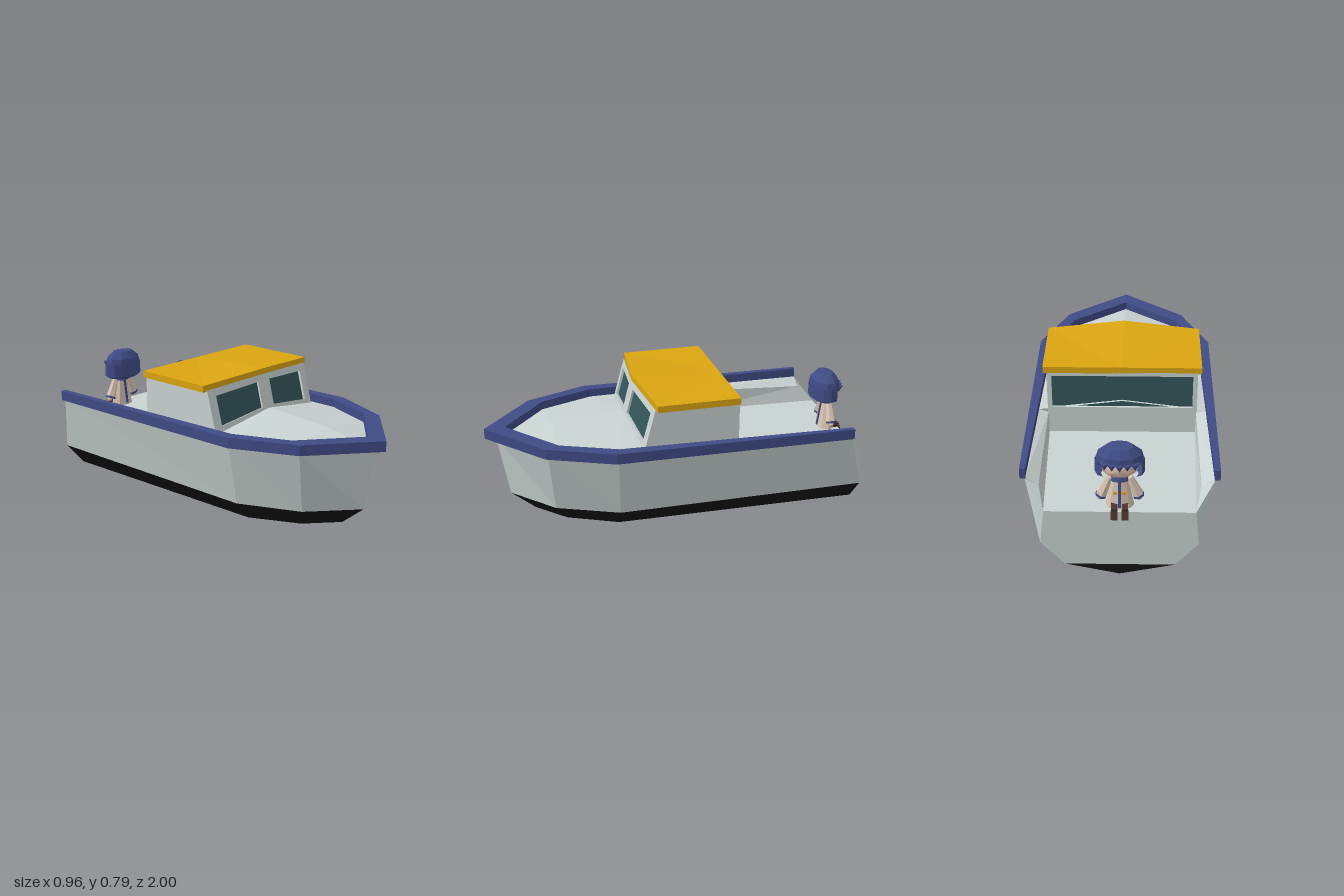
import * as THREE from 'three';

const V = (x, y, z) => new THREE.Vector3(x, y, z);
const paint = (color) => new THREE.MeshStandardMaterial({ color, flatShading: true, side: THREE.DoubleSide });
const mats = {
  hull: paint(0xc8d2d0), black: paint(0x141414), blue: paint(0x3f4b85), roof: paint(0xdba511),
  glass: paint(0x33555a), skin: paint(0xe6c3ad), coat: paint(0xd8c4b4), brown: paint(0x4a332e),
};

// Skin a list of rows (lower/outer first) with flat faces
function loft(rows, closed = false) {
  const p = [];
  for (let r = 0; r < rows.length - 1; r++) {
    const a = rows[r], b = rows[r + 1], n = a.length;
    for (let i = 0; i < (closed ? n : n - 1); i++) {
      const j = (i + 1) % n;
      for (const v of [a[i], b[i], b[j], a[i], b[j], a[j]]) p.push(v.x, v.y, v.z);
    }
  }
  const g = new THREE.BufferGeometry();
  g.setAttribute('position', new THREE.Float32BufferAttribute(p, 3));
  g.computeVertexNormals();
  return g;
}

// Half outline (left stern to bow) continued around to the right stern
const around = (half) => {
  const h = half.map((c) => V(...c));
  return [...h, ...h.slice(0, -1).reverse().map((v) => V(-v.x, v.y, v.z))];
};
// Crosswise row from right to left
const across = (x, y, z) => [V(-x, y, z), V(x, y, z)];

function add(parent, name, geometry, mat, pos = [0, 0, 0], rot = [0, 0, 0]) {
  const m = new THREE.Mesh(geometry, mats[mat]);
  m.name = name;
  m.position.set(...pos);
  m.rotation.set(...rot);
  parent.add(m);
  return m;
}

function addPair(parent, name, geometry, mat) {
  add(parent, name + 'Left', geometry, mat);
  add(parent, name + 'Right', geometry, mat).scale.x = -1;
}

// Wall with a recessed window; corners run bottom a, bottom b, top b, top a
function windowWall(parent, name, corners, [u0, u1, v0, v1], inward) {
  const [a, b, c, d] = corners;
  const at = (u, v) => a.clone().lerp(b, u).lerp(d.clone().lerp(c, u), v);
  const hole = [at(u0, v0), at(u1, v0), at(u1, v1), at(u0, v1)];
  const pane = hole.map((p) => p.clone().add(inward));
  add(parent, name + 'Frame', loft([corners, hole, pane], true), 'hull');
  add(parent, name + 'Glass', loft([[pane[0], pane[1]], [pane[3], pane[2]]]), 'glass');
}

function buildHull(boat) {
  const hull = new THREE.Group();
  hull.name = 'hull';
  boat.add(hull);
  const keel = around([[0, 0, -0.98], [0, 0.03, 0.3], [0, 0.035, 0.62], [0, 0.065, 0.75]]);
  const chine = around([[0.27, 0.06, -0.98], [0.27, 0.06, 0.34], [0.15, 0.06, 0.6], [0, 0.065, 0.75]]);
  const water = around([[0.385, 0.19, -0.98], [0.37, 0.17, 0.35], [0.235, 0.17, 0.67], [0, 0.17, 0.88]]);
  const sheer = around([[0.455, 0.505, -0.89], [0.455, 0.505, 0.37], [0.315, 0.505, 0.71], [0, 0.505, 0.94]]);
  add(hull, 'bottom', loft([keel, chine, water]), 'black');
  add(hull, 'topsides', loft([water, sheer]), 'hull');

  // Transom and its folded corners
  add(hull, 'transomFoot', loft([across(0, 0, -0.98), across(0.27, 0.06, -0.98)]), 'black');
  add(hull, 'transom', loft([across(0.27, 0.06, -0.98), across(0.385, 0.19, -0.98), across(0.365, 0.38, -0.98)]), 'hull');
  const tip = V(0.455, 0.505, -0.89), corner = V(0.365, 0.38, -0.98);
  addPair(hull, 'sternCorner', loft([[V(0.385, 0.19, -0.98), V(0.385, 0.19, -0.98)], [corner, tip]]), 'hull');
  addPair(hull, 'sternCornerTop', loft([[tip, tip], [corner, V(0.39, 0.47, -0.89)]]), 'hull');

  // Cockpit: side ledge, wall and floor
  addPair(hull, 'cockpit', loft([
    [V(0.455, 0.51, -0.89), V(0.438, 0.515, -0.28)],
    [V(0.39, 0.47, -0.89), V(0.387, 0.5, -0.28)],
    [corner, V(0.385, 0.38, -0.28)],
    [V(0, 0.38, -0.98), V(0, 0.38, -0.28)],
  ]), 'hull');

  // Cambered foredeck
  add(hull, 'foredeck', loft([
    around([[0.438, 0.515, -0.28], [0.42, 0.515, 0.36], [0.3, 0.515, 0.65], [0, 0.515, 0.89]]),
    around([[0, 0.57, -0.28], [0, 0.582, 0.25], [0, 0.555, 0.64], [0, 0.515, 0.89]]),
  ]), 'hull');

  // Rub rail
  const outer = (y) => around([[0.48, y, -0.89], [0.48, y, 0.385], [0.335, y, 0.725], [0, y, 1]]);
  const inner = (y) => around([[0.452, y, -0.89], [0.42, y, 0.36], [0.3, y, 0.65], [0, y, 0.89]]);
  add(hull, 'rail', loft([outer(0.505), outer(0.56), inner(0.56), inner(0.505), outer(0.505)]), 'blue');
  addPair(hull, 'railEnd', loft([
    [V(0.452, 0.505, -0.89), V(0.48, 0.505, -0.89)], [V(0.452, 0.56, -0.89), V(0.48, 0.56, -0.89)],
  ]), 'blue');
}

function buildCabin(boat) {
  const cabin = new THREE.Group();
  cabin.name = 'cabin';
  boat.add(cabin);
  const low = [V(0.39, 0.38, -0.28), V(0.39, 0.5, 0.23), V(0, 0.56, 0.256)];
  const high = [V(0.39, 0.74, -0.28), V(0.39, 0.74, 0.165), V(0, 0.76, 0.205)];
  addPair(cabin, 'sideWall', loft([low.slice(0, 2), high.slice(0, 2)]), 'hull');

  // Raked, V-shaped windscreen
  for (const s of [1, -1]) {
    const half = new THREE.Group();
    half.name = s > 0 ? 'windscreenLeft' : 'windscreenRight';
    half.scale.x = s;
    cabin.add(half);
    windowWall(half, 'windscreen', [low[2], low[1], high[1], high[2]], [0.115, 0.87, 0.19, 0.84], V(-0.002, -0.004, -0.012));
  }
  windowWall(cabin, 'rearWindow', [...across(0.39, 0.38, -0.28), ...across(0.39, 0.74, -0.28).reverse()],
    [0.03, 0.97, 0.42, 0.94], V(0, 0, 0.012));

  // Roof with a raised front peak
  const edge = (d) => around([[0.41, 0.77 - d, -0.28], [0.41, 0.767 - d, 0.157], [0, 0.79 - d, 0.205]]);
  const hub = (d) => Array.from({ length: 5 }, () => V(0, 0.77 - d, -0.28));
  add(cabin, 'roof', loft([hub(0.035), edge(0.035), edge(0), hub(0)], true), 'roof');
}

// Small seated figure facing aft
function buildFigure(boat) {
  const fig = new THREE.Group();
  fig.name = 'seatedFigure';
  fig.position.set(0, 0, -0.9);
  boat.add(fig);
  const lathe = (pts, n, start, len) => new THREE.LatheGeometry(pts.map((p) => new THREE.Vector2(...p)), n, start, len).scale(1, 1, 0.68);

  // Head and hair
  add(fig, 'head', new THREE.IcosahedronGeometry(0.095, 1).scale(1, 0.75, 0.74), 'skin', [0, 0.61, -0.005]);
  add(fig, 'hairCap', lathe([[0.118, 0.635], [0.108, 0.67], [0.065, 0.707], [0, 0.712]], 10, 0, Math.PI * 2), 'blue');
  add(fig, 'hairBack', lathe([[0.09, 0.55], [0.12, 0.565], [0.118, 0.64]], 8, -0.66 * Math.PI, 1.32 * Math.PI), 'blue');
  for (const i of [-2, -1, 0, 1, 2]) {
    add(fig, 'fringe', new THREE.ConeGeometry(0.024, 0.04, 4), 'blue',
      [i * 0.036, 0.625, -0.074 + Math.abs(i) * 0.008], [Math.PI, 0, 0]);
  }

  // Coat, trim and buttons
  add(fig, 'coat', new THREE.CylinderGeometry(0.035, 0.07, 0.17, 8).scale(1, 1, 0.68), 'coat', [0, 0.465, -0.015]);
  add(fig, 'collar', new THREE.CylinderGeometry(0.034, 0.048, 0.025, 8).scale(1, 1, 0.75), 'blue', [0, 0.541, -0.015]);
  for (const z of [-1, 1]) {
    add(fig, 'coatStripe', new THREE.BoxGeometry(0.014, 0.15, 0.006), 'blue', [0, 0.465, -0.015 + z * 0.036], [-z * 0.14, 0, 0]);
  }
  for (const s of [-1, 1]) {
    add(fig, 'button', new THREE.BoxGeometry(0.02, 0.012, 0.008), 'roof', [s * 0.022, 0.47, -0.051]);
    add(fig, 'sleeve', new THREE.CylinderGeometry(0.016, 0.028, 0.11, 6), 'coat', [s * 0.068, 0.49, -0.015], [0, 0, s * 0.38]);
    add(fig, 'cuff', new THREE.CylinderGeometry(0.028, 0.029, 0.012, 6), 'blue', [s * 0.09, 0.435, -0.015], [0, 0, s * 0.38]);
    add(fig, 'hand', new THREE.IcosahedronGeometry(0.015, 0), 'skin', [s * 0.094, 0.424, -0.018]);
    // Legs over the transom
    add(fig, 'leg', new THREE.BoxGeometry(0.03, 0.03, 0.075), 'brown', [s * 0.026, 0.395, -0.048], [-0.25, 0, 0]);
    add(fig, 'shoe', new THREE.BoxGeometry(0.032, 0.042, 0.026), 'brown', [s * 0.026, 0.364, -0.084], [0.3, 0, 0]);
  }
}

export function createModel() {
  const boat = new THREE.Group();
  boat.name = 'motorBoat';
  buildHull(boat);
  buildCabin(boat);
  buildFigure(boat);
  return boat;
}
